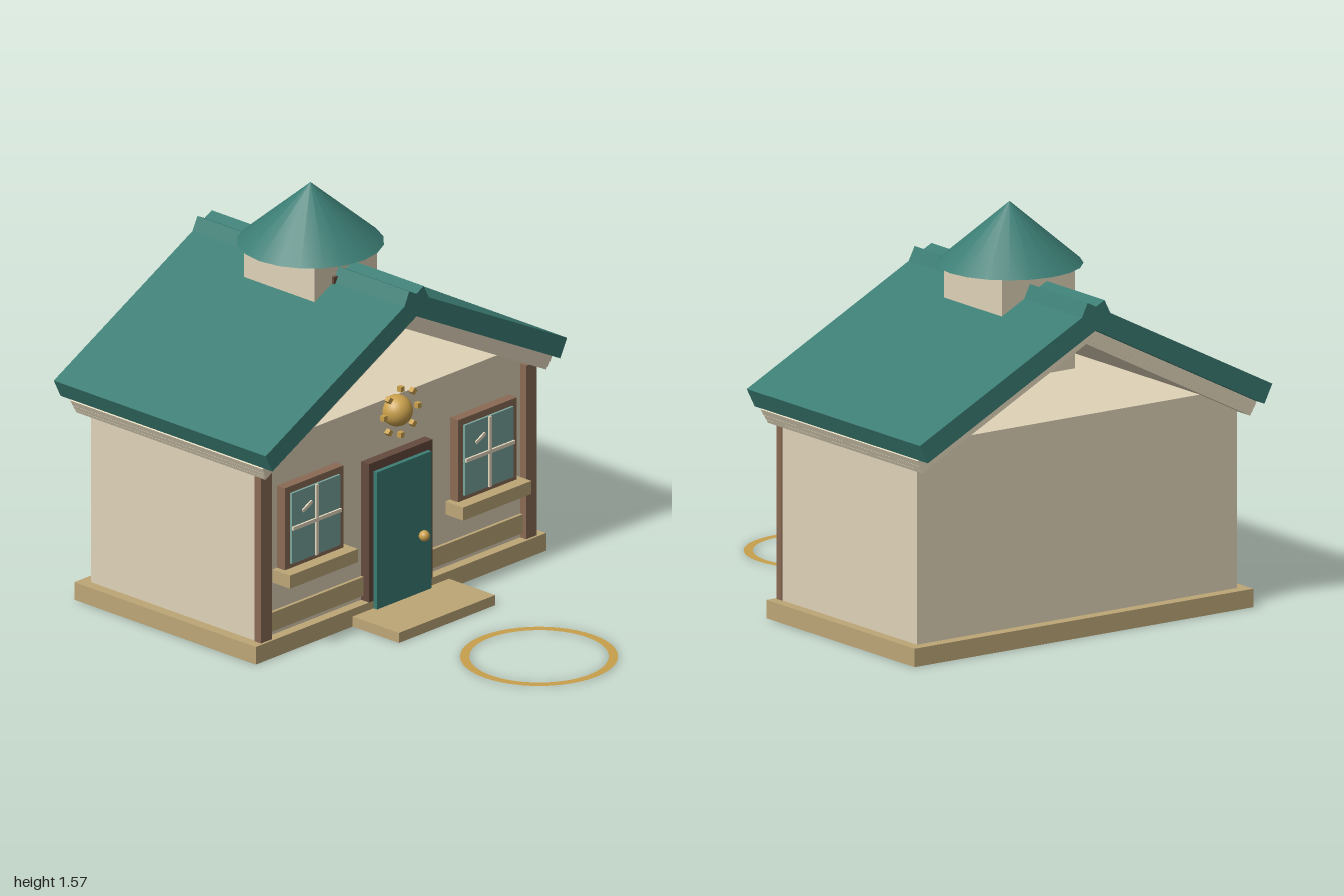
import * as THREE from 'three';

const mat = (color, side = THREE.FrontSide) => new THREE.MeshStandardMaterial({ color, side });
const TEAL = mat(0x3b7d74), CREAM = mat(0xe0d3b8), TRIM = mat(0xe6dabf), BROWN = mat(0x8a6a55);
const DARK = mat(0x644b3d), TAN = mat(0xbda677), GOLD = mat(0xc9a04c), GLASS = mat(0x7aa59b);

function add(parent, name, geometry, material, x = 0, y = 0, z = 0) {
  const mesh = new THREE.Mesh(geometry, material);
  mesh.name = name;
  mesh.position.set(x, y, z);
  parent.add(mesh);
  return mesh;
}

// Box given by its extents on each axis
function block(parent, name, material, [x0, x1], [y0, y1], [z0, z1]) {
  return add(parent, name, new THREE.BoxGeometry(x1 - x0, y1 - y0, z1 - z0), material,
    (x0 + x1) / 2, (y0 + y1) / 2, (z0 + z1) / 2);
}

const PITCH = Math.atan(0.51);

// Sloping board: starts at the eave's upper corner (-ex, ey), runs up towards the ridge
function slopeBoard(parent, name, material, side, ex, ey, length, thick, z0, z1) {
  const c = Math.cos(PITCH), s = Math.sin(PITCH);
  const x = -ex + c * length / 2 + s * thick / 2;
  const y = ey + s * length / 2 - c * thick / 2;
  const board = add(parent, name, new THREE.BoxGeometry(length, thick, z1 - z0), material,
    -side * x, y, (z0 + z1) / 2);
  board.rotation.z = -side * PITCH;
}

function makeWindow(x) {
  const g = new THREE.Group();
  g.name = 'window';
  g.position.set(x, 0.4925, 0);
  block(g, 'windowFrame', BROWN, [-0.157, 0.157], [-0.163, 0.163], [-0.045, 0]);
  block(g, 'windowPane', GLASS, [-0.13, 0.13], [-0.143, 0.137], [-0.03, 0.01]);
  block(g, 'verticalBar', TRIM, [-0.007, 0.007], [-0.143, 0.137], [0, 0.017]);
  block(g, 'horizontalBar', TRIM, [-0.13, 0.13], [-0.009, 0.005], [0, 0.018]);
  const glint = add(g, 'paneGlint', new THREE.BoxGeometry(0.055, 0.013, 0.008), TRIM, -0.05, 0.065, 0.012);
  glint.rotation.z = 0.45;
  block(g, 'windowBox', TAN, [-0.182, 0.182], [-0.215, -0.163], [-0.04, 0.05]);
  return g;
}

export function createModel() {
  const house = new THREE.Group();
  house.name = 'house';

  // Foundation, step and walls
  block(house, 'foundation', TAN, [-0.775, 0.775], [0, 0.07], [-0.925, 0]);
  block(house, 'frontStep', TAN, [-0.257, 0.257], [0, 0.04], [-0.03, 0.235]);
  block(house, 'walls', CREAM, [-0.732, 0.732], [0.06, 0.83], [-0.88, -0.04]);
  block(house, 'skirtingBoard', TAN, [-0.68, 0.68], [0.09, 0.165], [-0.045, -0.027]);

  for (const side of [-1, 1]) {
    // Corner posts and windows
    const px = side * 0.708;
    block(house, 'cornerPost', BROWN, [px - 0.029, px + 0.029], [0.07, 0.76], [-0.042, -0.01]);
    house.add(makeWindow(side * 0.4625));
    // Roof slabs cross at the ridge, with stepped trim below
    slopeBoard(house, 'roofSlab', TEAL, side, 0.806, 0.86, 0.948, 0.08, -1, 0.08);
    slopeBoard(house, 'roofTrim', TRIM, side, 0.775, 0.787, 0.87, 0.026, -0.945, 0.035);
    slopeBoard(house, 'roofTrim', TRIM, side, 0.764, 0.764, 0.86, 0.02, -0.942, 0.03);
    slopeBoard(house, 'roofTrim', TRIM, side, 0.756, 0.747, 0.85, 0.014, -0.939, 0.025);
  }

  // Door
  block(house, 'doorJamb', DARK, [-0.17, -0.14], [0.07, 0.62], [-0.045, 0]);
  block(house, 'doorJamb', DARK, [0.14, 0.17], [0.07, 0.62], [-0.045, 0]);
  block(house, 'doorLintel', DARK, [-0.17, 0.17], [0.58, 0.62], [-0.045, 0]);
  block(house, 'door', TEAL, [-0.145, 0.145], [0.04, 0.585], [-0.03, 0.018]);
  add(house, 'doorKnob', new THREE.SphereGeometry(0.021, 16, 12), GOLD, 0.088, 0.27, 0.036);

  // Sun ornament
  const sun = new THREE.Group();
  sun.name = 'sunOrnament';
  sun.position.set(0, 0.78, 0);
  add(sun, 'sunDisc', new THREE.SphereGeometry(0.06, 24, 16), GOLD, 0, 0, -0.02);
  for (let i = 0; i < 8; i++) {
    const a = i * Math.PI / 4;
    const ray = add(sun, 'sunRay', new THREE.BoxGeometry(0.02, 0.02, 0.02), GOLD,
      0.091 * Math.cos(a), 0.091 * Math.sin(a), 0);
    ray.rotation.z = a;
  }
  house.add(sun);

  // Belfry
  block(house, 'belfry', CREAM, [-0.167, 0.167], [0.94, 1.33], [-0.64, -0.28]);
  block(house, 'belfryOpening', DARK, [-0.075, 0.075], [1.12, 1.26], [-0.3, -0.268]);
  const bell = [[0, 0.1], [0.02, 0.095], [0.03, 0.06], [0.036, 0.03], [0.05, 0], [0, 0]];
  add(house, 'bell', new THREE.LatheGeometry(bell.reverse().map(p => new THREE.Vector2(...p)), 16),
    GOLD, 0, 1.09, -0.27);
  add(house, 'belfryRoof', new THREE.ConeGeometry(0.273, 0.235, 20), TEAL, 0, 1.4475, -0.46);

  // Flat ring on the ground in front
  const ring = add(house, 'groundRing', new THREE.RingGeometry(0.258, 0.292, 48),
    mat(0xc9a04c, THREE.DoubleSide), 0, 0.003, 0.705);
  ring.rotation.x = -Math.PI / 2;

  return house;
}
